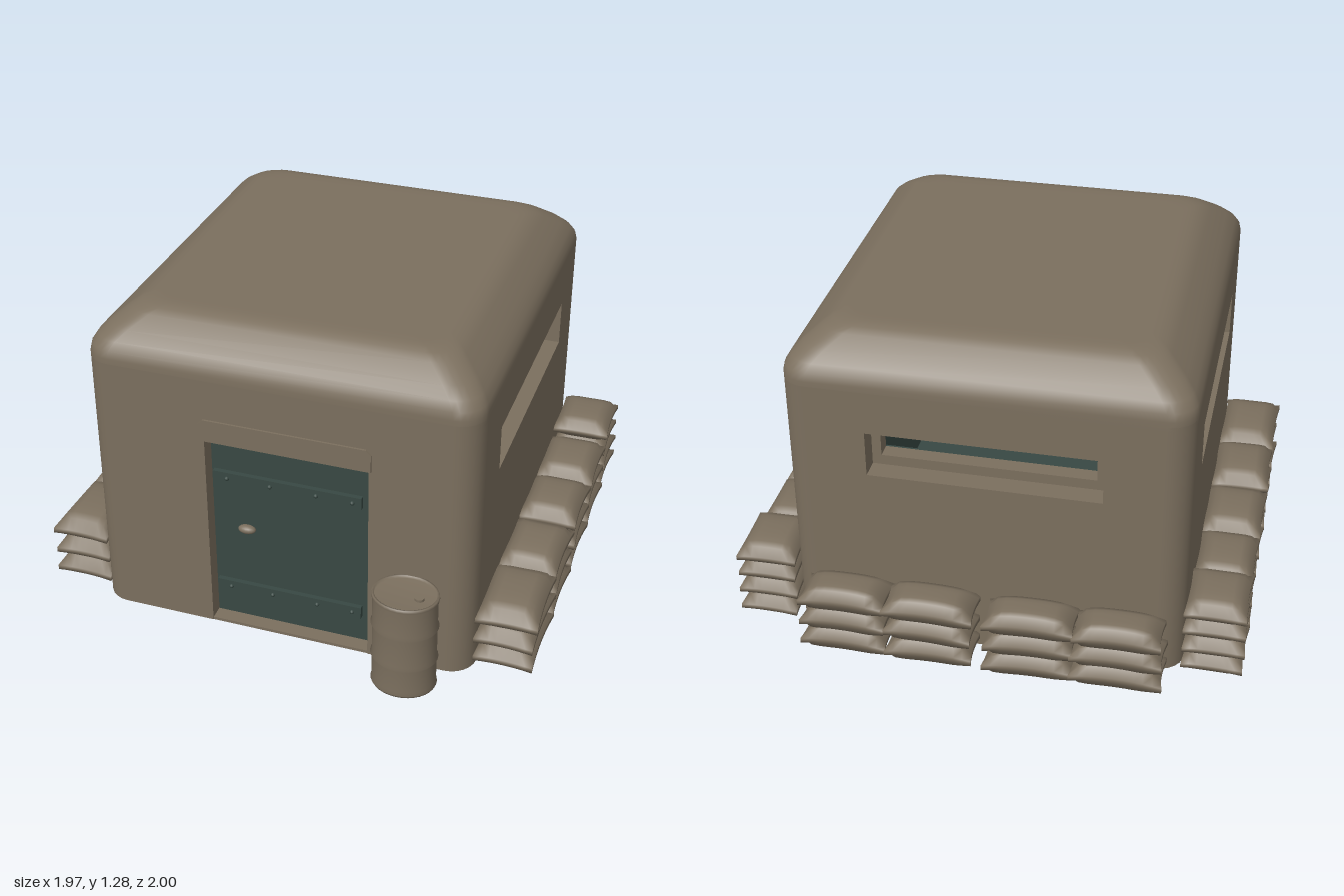
import * as THREE from 'three';
import { mergeVertices } from 'three/addons/utils/BufferGeometryUtils.js';

const brown = new THREE.MeshStandardMaterial({ color: 0x7b6f5e });
brown.name = 'earthBrown';
const green = new THREE.MeshStandardMaterial({ color: 0x384843 });
green.name = 'darkGreen';

// Body footprint: half width, half depth, depth offset, corner radius
const HX = 0.75, HZ = 0.81, CZ = -0.02, R = 0.1;

let seed = 7;
const rnd = () => ((seed = (seed * 16807) % 2147483647) / 2147483647) - 0.5;

function add(parent, name, geometry, material, x = 0, y = 0, z = 0) {
  const m = new THREE.Mesh(geometry, material);
  m.name = name;
  m.position.set(x, y, z);
  parent.add(m);
  return m;
}
const box = (w, h, d) => new THREE.BoxGeometry(w, h, d);

// Rounded rectangle footprint, pulled in by an inset
function outline(inset) {
  const pts = [];
  const n = 6;
  for (let q = 0; q < 4; q++) {
    const sx = q === 0 || q === 3 ? 1 : -1, sz = q < 2 ? 1 : -1;
    for (let i = 0; i <= n; i++) {
      const a = (q + i / n) * Math.PI / 2;
      pts.push(new THREE.Vector2(
        sx * (HX - inset - R) + R * Math.cos(a),
        CZ + sz * (HZ - inset - R) + R * Math.sin(a)));
    }
  }
  return pts;
}

// Roof: footprint rings lofted over the rounded shoulder, closed by a fan
function roofGeometry() {
  const profile = [[0, 1.06], [0, 1.1], [0.006, 1.13], [0.025, 1.162], [0.06, 1.197],
    [0.12, 1.243], [0.15, 1.26], [0.18, 1.268], [0.205, 1.27], [0.25, 1.271]];
  const pos = [], idx = [];
  const n = outline(0).length;
  for (const [inset, y] of profile) for (const p of outline(inset)) pos.push(p.x, y, p.y);
  for (let i = 0; i < profile.length - 1; i++) {
    for (let j = 0; j < n; j++) {
      const a = i * n + j, b = i * n + (j + 1) % n;
      idx.push(a, a + n, b, b, a + n, b + n);
    }
  }
  const top = (profile.length - 1) * n, centre = pos.length / 3;
  pos.push(0, 1.271, CZ);
  for (let j = 0; j < n; j++) idx.push(centre, top + (j + 1) % n, top + j);
  const g = new THREE.BufferGeometry();
  g.setAttribute('position', new THREE.Float32BufferAttribute(pos, 3));
  g.setIndex(idx);
  g.computeVertexNormals();
  return g;
}

function rectPath(x0, x1, y0, y1) {
  return new THREE.Path([[x0, y0], [x0, y1], [x1, y1], [x1, y0]].map(p => new THREE.Vector2(...p)));
}

// Flat wall layer with an optional slit or a door notch, outer face at z = 0
function panel(half, depth, slit, door) {
  const pts = [[-half, 0]];
  if (door) pts.push([-0.28, 0], [-0.28, 0.83], [0.35, 0.83], [0.35, 0]);
  pts.push([half, 0], [half, 1.08], [-half, 1.08]);
  const s = new THREE.Shape(pts.map(p => new THREE.Vector2(...p)));
  if (slit) s.holes.push(rectPath(-slit[0], slit[0], slit[1], slit[2]));
  const g = new THREE.ExtrudeGeometry(s, { depth, bevelEnabled: false });
  return g.translate(0, 0, -depth);
}

// Wall: outer layer, stepped inner layer and dark lining
function wall(parent, name, half, slitHalf, x, z, turn) {
  const w = new THREE.Group();
  w.name = name;
  w.position.set(x, 0, z);
  w.rotation.y = turn;
  const wide = slitHalf && [slitHalf, 0.73, 0.91];
  const tight = slitHalf && [slitHalf - 0.035, 0.77, 0.87];
  add(w, 'outerWall', panel(half - R, 0.08, wide, !slitHalf), brown);
  add(w, 'innerWall', panel(half - 0.08, 0.06, tight), brown, 0, 0, -0.08);
  add(w, 'wallLining', panel(half - 0.14, 0.008, tight), green, 0, 0, -0.14);
  parent.add(w);
}

// Pillow with pinched seams and pointed corners
function bagGeometry(l, h, w) {
  let g = new THREE.BoxGeometry(2, 2, 2, 10, 2, 8);
  g.deleteAttribute('normal');
  g.deleteAttribute('uv');
  g = mergeVertices(g);
  const p = g.attributes.position;
  for (let i = 0; i < p.count; i++) {
    const u = p.getX(i), v = p.getY(i), t = p.getZ(i);
    const puff = 0.2 + 0.8 * Math.sqrt((1 - u ** 4) * (1 - t ** 4));
    p.setXYZ(i,
      u * l / 2 * (1 - 0.05 * (1 - t * t)),
      v * h / 2 * puff - 0.1 * h * u * u,
      t * w / 2 * (1 - 0.06 * (1 - u * u)));
  }
  g.computeVertexNormals();
  return g;
}

// Column of stacked bags, long side along x or along z
function bagStack(parent, x, z, length, width, layers, alongZ) {
  const step = layers === 4 ? 0.08 : 0.091;
  for (let i = 0; i < layers; i++) {
    const g = bagGeometry(length + rnd() * 0.02, step * 1.17, width + rnd() * 0.012);
    const m = add(parent, 'sandbag', g, brown, x, step * (i + 0.57) + rnd() * 0.006, z);
    m.rotation.y = (alongZ ? Math.PI / 2 : 0) + rnd() * 0.05;
    m.rotation.z = rnd() * 0.04;
  }
}

export function createModel() {
  const model = new THREE.Group();
  model.name = 'bunker';

  // Concrete shell
  const shell = new THREE.Group();
  shell.name = 'shell';
  model.add(shell);
  wall(shell, 'frontWall', HX, 0, 0, CZ + HZ, 0);
  wall(shell, 'backWall', HX, 0.435, 0, CZ - HZ, Math.PI);
  wall(shell, 'leftWall', HZ, 0.5, HX, CZ, Math.PI / 2);
  wall(shell, 'rightWall', HZ, 0.5, -HX, CZ, -Math.PI / 2);
  for (const sx of [-1, 1]) for (const sz of [-1, 1]) {
    add(shell, 'roundedCorner', new THREE.CylinderGeometry(R, R, 1.08, 24), brown,
      sx * (HX - R), 0.54, CZ + sz * (HZ - R));
  }
  add(shell, 'roof', roofGeometry(), brown);
  const slab = new THREE.ExtrudeGeometry(new THREE.Shape(outline(0.002)), { depth: 0.012, bevelEnabled: false });
  add(shell, 'floorSlab', slab.rotateX(Math.PI / 2), brown, 0, 0.012, 0);
  for (const [name, y] of [['roomFloor', 0.016], ['ceiling', 1.07]]) {
    add(shell, name, box(HX * 2 - 0.22, 0.008, HZ * 2 - 0.22), green, 0, y, CZ);
  }

  // Door with straps, bolts and handle
  const door = new THREE.Group();
  door.name = 'door';
  door.position.set(0.035, 0, 0.715);
  model.add(door);
  add(door, 'doorPanel', box(0.63, 0.82, 0.03), green, 0, 0.42, 0);
  for (const y of [0.15, 0.65]) {
    add(door, 'strap', box(0.58, 0.05, 0.02), green, -0.015, y, 0.024);
    for (const x of [-0.25, -0.08, 0.1, 0.24]) {
      add(door, 'bolt', new THREE.SphereGeometry(0.009, 8, 6), green, x, y, 0.034);
    }
  }
  const handle = add(door, 'handle', new THREE.SphereGeometry(0.035, 16, 10), brown, -0.18, 0.43, 0.025);
  handle.scale.set(1, 0.5, 0.6);

  // Lintel over the door
  const lintel = new THREE.Shape([[-0.3, 0.83], [0.36, 0.83], [0.36, 0.9], [0.34, 0.92], [-0.28, 0.92], [-0.3, 0.9]]
    .map(p => new THREE.Vector2(...p)));
  add(model, 'lintel', new THREE.ExtrudeGeometry(lintel, { depth: 0.02, bevelEnabled: false }), brown, 0, 0, 0.778);

  // Ribbed barrel beside the door
  const ribbed = [[0, 0.005], [0.12, 0.005], [0.125, 0.015], [0.121, 0.03], [0.121, 0.125], [0.127, 0.135],
    [0.121, 0.145], [0.121, 0.265], [0.127, 0.275], [0.121, 0.285], [0.121, 0.39], [0.126, 0.4],
    [0.124, 0.41], [0.116, 0.41], [0.114, 0.4], [0, 0.4]].map(p => new THREE.Vector2(...p));
  const barrel = add(model, 'barrel', new THREE.LatheGeometry(ribbed, 32), brown, 0.525, 0, 0.89);
  barrel.scale.z = 0.85;
  add(model, 'barrelCap', new THREE.CylinderGeometry(0.018, 0.018, 0.01, 12), brown, 0.58, 0.405, 0.9);

  // Sandbags along both sides, with a taller stack at the back end
  const bags = new THREE.Group();
  bags.name = 'sandbags';
  model.add(bags);
  for (const sx of [-1, 1]) {
    for (const [z, length, layers] of [[0.56, 0.35, 3], [0.235, 0.31, 3], [-0.095, 0.31, 3],
      [-0.405, 0.31, 3], [-0.7, 0.28, 4]]) {
      bagStack(bags, sx * 0.862, z, length, 0.23, layers, true);
    }
    // Back row
    for (const x of [0.19, 0.52]) bagStack(bags, sx * x, -0.91, 0.34, 0.17, 3, false);
  }
  return model;
}
